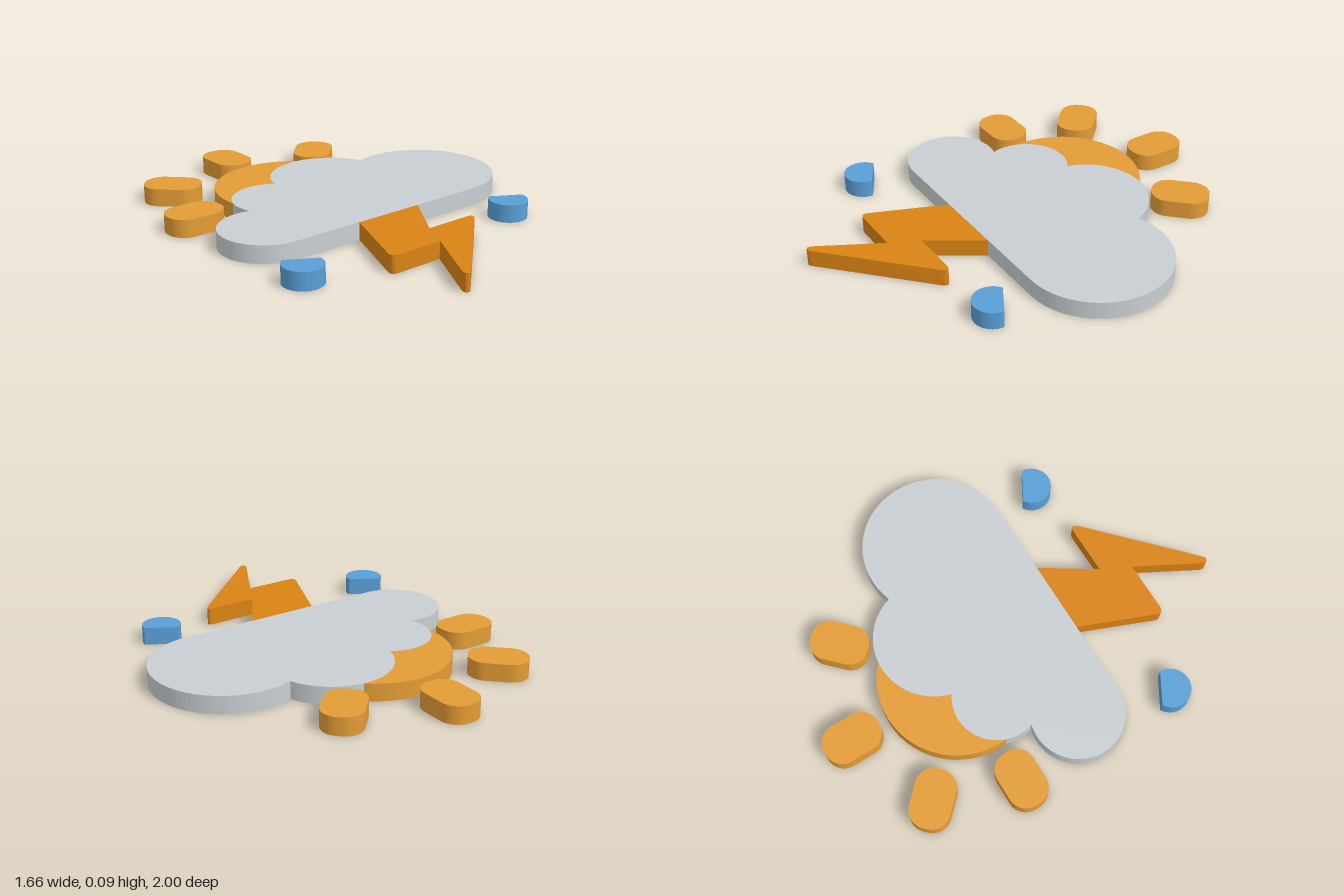
import * as THREE from 'three';
import { toCreasedNormals } from 'three/addons/utils/BufferGeometryUtils.js';

const HEIGHT = 0.085;
const SUN = 0xe39c36, BOLT = 0xd98314, WATER = 0x5a9fd6, CLOUD = 0xc8ced2;

// Extrude a plan outline (shape y = -z) upwards into a flat slab.
function slab(name, shape, color, { smooth = true, segments = 16, inset = 0 } = {}) {
  let geometry = new THREE.ExtrudeGeometry(shape, {
    depth: HEIGHT - 2 * inset, bevelEnabled: false, curveSegments: segments,
  });
  geometry.rotateX(-Math.PI / 2).translate(0, inset, 0);
  if (smooth) geometry = toCreasedNormals(geometry, 0.5);
  const mesh = new THREE.Mesh(geometry, new THREE.MeshStandardMaterial({ color }));
  mesh.name = name;
  return mesh;
}

// Cloud: clockwise chain of lobes, each arc running between two joints.
function cloudShape() {
  const lobes = [
    [-0.57, -0.068, 0.218], [-0.315, 0.207, 0.205], [0.08, 0.299, 0.289], [0.479, 0.063, 0.349],
  ];
  const joints = [[-0.57, -0.286], [-0.503, 0.14], [-0.198, 0.375], [0.363, 0.395], [0.479, -0.286]];
  const shape = new THREE.Shape();
  lobes.forEach(([x, y, r], i) => {
    const angle = ([px, py]) => Math.atan2(py - y, px - x);
    shape.absarc(x, y, r, angle(joints[i]), angle(joints[i + 1]), true);
  });
  return shape;
}

// Ray: stubby rounded bar along y.
function rayShape() {
  const w = 0.095, h = 0.1375, r = 0.085;
  const s = new THREE.Shape();
  s.absarc(w - r, h - r, r, 0, Math.PI / 2);
  s.absarc(r - w, h - r, r, Math.PI / 2, Math.PI);
  s.absarc(r - w, r - h, r, Math.PI, Math.PI * 1.5);
  s.absarc(w - r, r - h, r, Math.PI * 1.5, Math.PI * 2);
  return s;
}

// Raindrop: round belly with two tangents meeting at the tip.
function dropShape() {
  const r = 0.092;
  const s = new THREE.Shape();
  s.moveTo(r, r * Math.sqrt(3));
  s.absarc(0, 0, r, Math.PI * 2 / 3, Math.PI * 2);
  return s;
}

// Bolt: zigzag with rounded outer corners.
function boltShape() {
  const s = new THREE.Shape();
  s.moveTo(-0.187, -0.2);
  s.lineTo(-0.363, -0.637);
  s.quadraticCurveTo(-0.376, -0.674, -0.338, -0.674);
  s.lineTo(-0.103, -0.674);
  s.lineTo(-0.262, -0.968);
  s.bezierCurveTo(-0.275, -0.995, -0.25, -1.01, -0.23, -0.985);
  s.lineTo(0.207, -0.572);
  s.quadraticCurveTo(0.235, -0.538, 0.198, -0.536);
  s.lineTo(-0.034, -0.536);
  s.lineTo(0.182, -0.2);
  return s;
}

export function createModel() {
  const model = new THREE.Group();
  model.name = 'stormWeather';

  model.add(slab('cloud', cloudShape(), CLOUD, { smooth: false, segments: 24 }));

  // Sun disc, tucked into the cloud
  const disc = new THREE.Shape().absarc(-0.14, 0.311, 0.37, 0, Math.PI * 2);
  model.add(slab('sunDisc', disc, SUN, { segments: 48, inset: 0.001 }));

  // Four rays: x, z, turn
  const rays = new THREE.Group();
  rays.name = 'sunRays';
  [[-0.697, -0.31, Math.PI / 2], [-0.569, -0.693, Math.PI / 4],
    [-0.14, -0.864, 0], [0.286, -0.693, -Math.PI / 4]].forEach(([x, z, turn], i) => {
    const ray = slab(`sunRay${i + 1}`, rayShape(), SUN);
    ray.position.set(x, 0, z);
    ray.rotation.y = turn;
    rays.add(ray);
  });
  model.add(rays);

  model.add(slab('lightningBolt', boltShape(), BOLT, { segments: 6, inset: 0.001 }));

  // Raindrops either side of the bolt
  for (const [name, x] of [['rightRaindrop', -0.697], ['leftRaindrop', 0.505]]) {
    const drop = slab(name, dropShape(), WATER, { segments: 28 });
    drop.position.set(x, 0, 0.495);
    model.add(drop);
  }
  return model;
}
